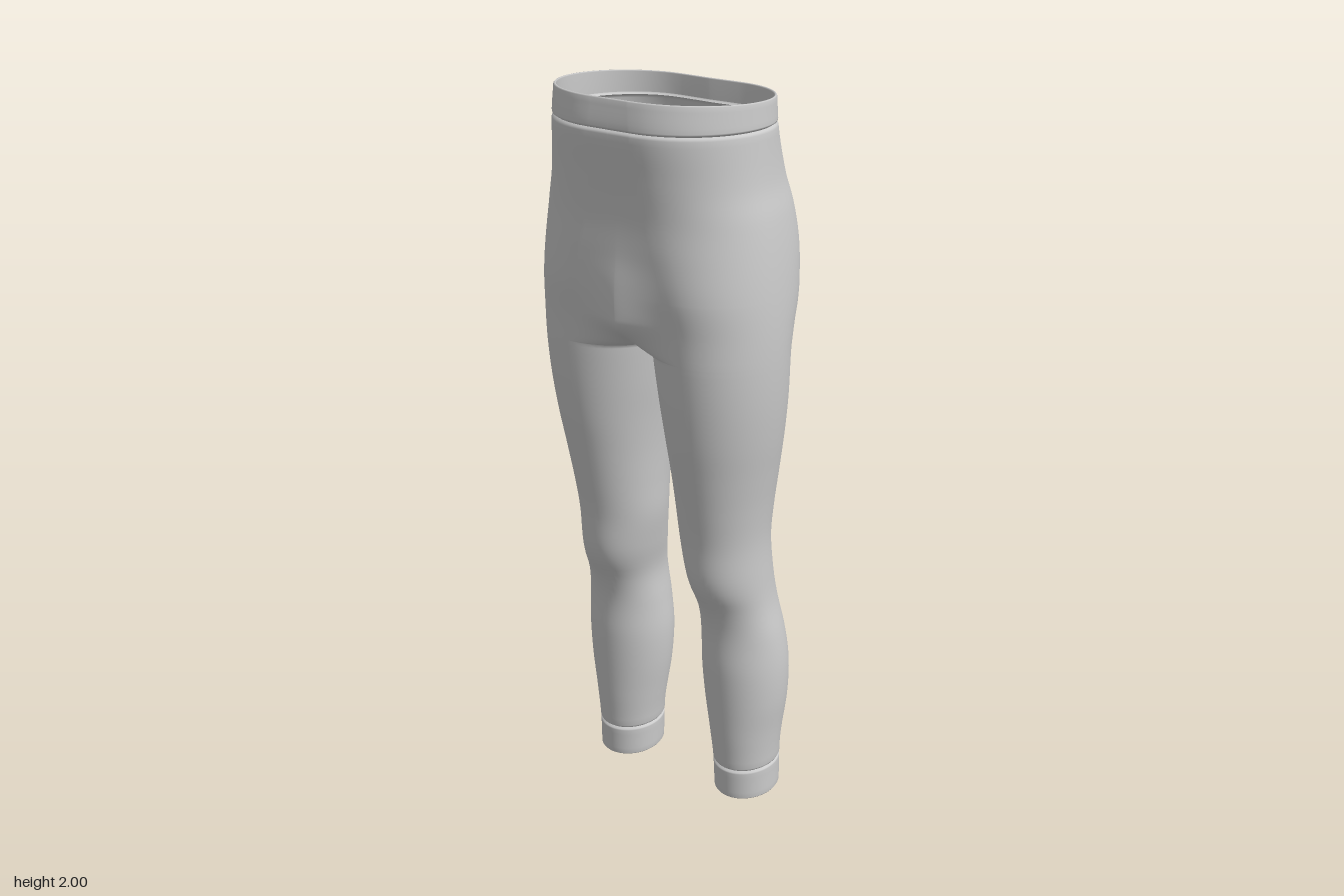
import * as THREE from 'three';
import { mergeVertices } from 'three/addons/utils/BufferGeometryUtils.js';

const CROTCH = 1.33;

// Smooth curve through [height, value] pairs
function profile(pts) {
  const slope = (i) => {
    const a = pts[Math.max(i - 1, 0)], b = pts[Math.min(i + 1, pts.length - 1)];
    return (b[1] - a[1]) / (b[0] - a[0]);
  };
  return (y) => {
    if (y <= pts[0][0]) return pts[0][1];
    if (y >= pts[pts.length - 1][0]) return pts[pts.length - 1][1];
    let i = 0;
    while (y > pts[i + 1][0]) i++;
    const h = pts[i + 1][0] - pts[i][0], t = (y - pts[i][0]) / h, t2 = t * t, t3 = t2 * t;
    return (2 * t3 - 3 * t2 + 1) * pts[i][1] + (t3 - 2 * t2 + t) * h * slope(i)
      + (3 * t2 - 2 * t3) * pts[i + 1][1] + (t3 - t2) * h * slope(i + 1);
  };
}

// Limits of one leg's cross-section at each height
const outer = profile([[0, .295], [.09, .296], [.2, .305], [.3, .317], [.4, .32], [.5, .312], [.6, .297], [.7, .293],
  [.8, .293], [.9, .303], [1, .318], [1.1, .334], [1.2, .346], [1.3, .353], [1.4, .355], [1.5, .352], [1.6, .344],
  [1.7, .331], [1.78, .315], [1.9, .305], [2, .3]]);
const inner = profile([[0, .118], [.1, .113], [.2, .1], [.3, .086], [.4, .08], [.5, .085], [.6, .089], [.7, .07],
  [.8, .053], [.9, .047], [1, .04], [1.1, .029], [1.2, .015], [1.3, .003], [CROTCH, 0]]);
const front = profile([[0, .015], [.1, .02], [.2, .03], [.4, .047], [.5, .05], [.55, .057], [.6, .073], [.65, .098],
  [.7, .112], [.8, .122], [.9, .14], [1, .16], [1.1, .18], [1.2, .195], [1.3, .206], [1.4, .214], [1.5, .228],
  [1.6, .233], [1.7, .236], [1.8, .247], [1.92, .262], [2, .256]]);
const frontCentre = profile([[1.33, .236], [1.45, .243], [1.52, .242], [1.6, .236], [1.7, .236], [1.8, .247],
  [1.92, .262], [2, .256]]);
const back = profile([[0, -.18], [.08, -.179], [.15, -.174], [.2, -.178], [.3, -.192], [.4, -.198], [.5, -.19],
  [.6, -.172], [.7, -.153], [.8, -.14], [.9, -.145], [1, -.153], [1.2, -.16], [1.33, -.163], [1.4, -.19],
  [1.45, -.22], [1.5, -.241], [1.6, -.26], [1.7, -.244], [1.8, -.207], [1.9, -.176], [2, -.17]]);
const middle = profile([[0, -.08], [.4, -.075], [.7, -.02], [1, 0], [CROTCH, .02], [2, .03]]);
const frontX = profile([[0, .207], [.4, .2], [.7, .177], [1, .18], [1.33, .185], [1.5, .16], [1.7, .1], [2, .06]]);
const backX = profile([[0, .207], [.4, .2], [.7, .175], [1, .18], [1.33, .18], [1.6, .12], [2, .1]]);

// One cross-section: four arcs running inner, front, outer, back, inner
function section(y, inset, n = 14) {
  const joined = y >= CROTCH - 1e-6;
  const xi = joined ? 0 : Math.max(inner(y), .0005) + inset;
  const xo = outer(y) - inset, zm = middle(y), zf = front(y) - inset, zb = back(y) + inset;
  // Rounded saddle between the legs, opening to the centre front and back
  const open = (width) => {
    const a = joined ? THREE.MathUtils.clamp((y - CROTCH) / width, 0, 1) : 0;
    return Math.sqrt(1 - (1 - a) ** 2);
  };
  const z0 = zm + (frontCentre(y) - inset - zm) * open(.1);
  const z1 = zm + (back(y) * .985 + inset - zm) * open(.16);
  const power = 1 + 2 * THREE.MathUtils.smoothstep(y, 1.34, 1.45);
  const arcs = [
    [xi, frontX(y), z0, zf, power, false], [xo, frontX(y), zm, zf, 1, true],
    [xo, backX(y), zm, zb, 1, false], [xi, backX(y), z1, zb, power, true],
  ];
  const points = [];
  arcs.forEach(([xEnd, xMid, zEnd, zMid, p, reverse], k) => {
    for (let i = k ? 1 : 0; i <= n; i++) {
      const t = (reverse ? n - i : i) / n * Math.PI / 2;
      const c = t > 1.5707 ? 0 : Math.cos(t);
      const x = xMid + (xEnd - xMid) * c;
      const z = zEnd + (zMid - zEnd) * Math.sin(t) ** p;
      // Waist dips to the back, cuffs rise to the back
      const dip = .035 * (.256 - z) * THREE.MathUtils.smoothstep(y, 1.92, 2);
      const lift = .1 * (.015 - z) * (1 - THREE.MathUtils.smoothstep(y, .08, .25));
      points.push([x, y - dip + lift, z]);
    }
  });
  return points;
}

// Skin rows of [height, inset] for the given sides (+1 left, -1 right)
function sheet(name, rows, sides) {
  const positions = [], index = [];
  for (const side of sides) {
    const base = positions.length / 3;
    const rings = rows.map(([y, inset]) => section(y, inset));
    const w = rings[0].length;
    rings.forEach((ring) => ring.forEach(([x, y, z]) => positions.push(side * x, y, z)));
    for (let j = 0; j < rings.length - 1; j++) {
      for (let i = 0; i < w - 1; i++) {
        const a = base + j * w + i, b = a + 1, c = b + w, d = a + w;
        if (side > 0) index.push(a, b, c, a, c, d);
        else index.push(a, c, b, a, d, c);
      }
    }
  }
  let geometry = new THREE.BufferGeometry();
  geometry.setAttribute('position', new THREE.Float32BufferAttribute(positions, 3));
  geometry.setIndex(index);
  geometry = mergeVertices(geometry, 1e-5);
  geometry.computeVertexNormals();
  const mesh = new THREE.Mesh(geometry, material);
  mesh.name = name;
  return mesh;
}

const material = new THREE.MeshStandardMaterial({ color: 0xcccccc, side: THREE.DoubleSide });

function span(from, to, count) {
  return Array.from({ length: count + 1 }, (_, i) => [from + (to - from) * i / count, 0]);
}

export function createModel() {
  const group = new THREE.Group();
  group.name = 'leggings';

  // Legs and hips in one skin, tucked in at the seams
  group.add(sheet('legsAndHips', [
    [.088, .007], [.092, .002], ...span(.097, 1.31, 64), [1.32, 0],
    ...span(CROTCH, 1.35, 10), ...span(1.355, 1.5, 28), ...span(1.515, 1.912, 24),
    [1.918, .002], [1.922, .007],
  ], [1, -1]));

  // Waistband with its hem turned inside
  group.add(sheet('waistband', [
    [1.922, .007], [1.926, .001], ...span(1.93, 1.997, 5), [2, .002], [2, .005], [1.997, .007], [1.93, .008],
  ], [1, -1]));

  // Ankle cuffs with their hems turned inside
  for (const side of [1, -1]) {
    group.add(sheet(side > 0 ? 'leftCuff' : 'rightCuff', [
      [.08, .008], [.003, .007], [0, .005], [0, .002], ...span(.003, .08, 5), [.084, .001], [.088, .007],
    ], [side]));
  }
  return group;
}
